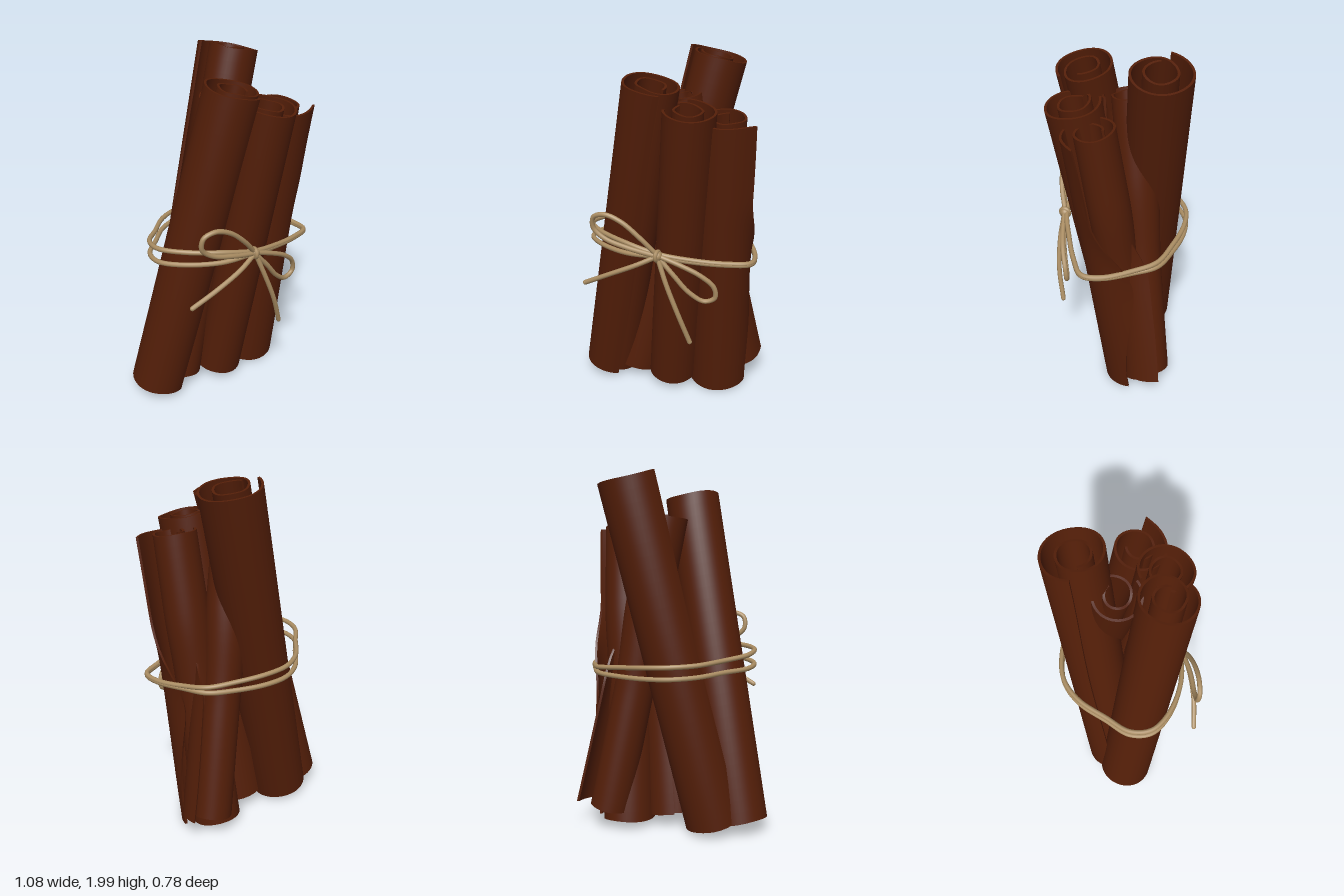
import * as THREE from 'three';
import { mergeGeometries } from 'three/addons/utils/BufferGeometryUtils.js';

const bark = new THREE.MeshStandardMaterial({ color: 0x531e08, side: THREE.DoubleSide });
const twine = new THREE.MeshStandardMaterial({ color: 0xa98c62 });
const V = (x, y, z) => new THREE.Vector3(x, y, z);
const { lerp, smoothstep } = THREE.MathUtils;

// Grid surface whose points follow a rule f(u, v)
function surface(nu, nv, f) {
  const g = new THREE.PlaneGeometry(1, 1, nu, nv);
  const p = g.attributes.position;
  for (let i = 0; i < p.count; i++) {
    const q = f(p.getX(i) + 0.5, p.getY(i) + 0.5);
    p.setXYZ(i, q.x, q.y, q.z);
  }
  g.computeVertexNormals();
  return g;
}

// Sheet of bark curled into a scroll along a leaning axis; pairs are [bottom, top].
// start: angle of the outer edge (degrees, from +x towards +z); turns: windings;
// hold: part of a turn kept at full radius; flare: how far the outer edge lifts;
// retreat: how far (radians) the outer edge draws back
function quill({ name, bottom, top, r, start, turns, hold = 0.55, flare = [0, 0], retreat = [0, 0] }) {
  const a = V(...bottom), axis = V(...top).sub(a);
  const length = axis.length();
  const lean = new THREE.Quaternion().setFromUnitVectors(V(0, 1, 0), axis.normalize());
  const thick = 0.013;

  const point = (u, v, inset) => {
    const edge = retreat[0] * (1 - smoothstep(v, 0, 0.6)) + retreat[1] * smoothstep(v, 0.4, 0.75)
      + 0.05 * Math.sin(v * 7 + start);
    const s = u * turns * Math.PI * 2;
    // beyond the held part the sheet curls in to a core
    const curl = 1 - 0.45 * smoothstep(s / (Math.PI * 2), hold, 1.2);
    const radius = lerp(r[0], r[1], v) * curl + lerp(flare[0], flare[1], v) * Math.exp(-s * 2.5) - inset;
    const angle = start * Math.PI / 180 + edge + s;
    const ripple = 0.003 * Math.sin(angle * 3 + start);
    return V(Math.cos(angle) * radius, v * length + ripple, Math.sin(angle) * radius)
      .applyQuaternion(lean).add(a);
  };

  const geometry = mergeGeometries([
    surface(90, 28, (u, v) => point(1 - u, v, 0)),             // outside
    surface(90, 28, (u, v) => point(u, v, thick)),             // inside
    surface(1, 28, (u, v) => point(0, v, u * thick)),          // outer edge
    surface(1, 28, (u, v) => point(1, v, (1 - u) * thick)),    // inner edge
    surface(90, 1, (u, v) => point(1 - u, 1, v * thick)),      // top end
    surface(90, 1, (u, v) => point(u, 0, v * thick)),          // bottom end
  ]);
  const mesh = new THREE.Mesh(geometry, bark);
  mesh.name = name;
  return mesh;
}

// Round cord through points, with rounded ends
function cord(name, points, closed = false) {
  const group = new THREE.Group();
  group.name = name;
  const path = points.map(p => V(...p));
  const curve = new THREE.CatmullRomCurve3(path, closed);
  group.add(new THREE.Mesh(new THREE.TubeGeometry(curve, points.length * 10, 0.0135, 10, closed), twine));
  if (!closed) {
    for (const end of [path[0], path[path.length - 1]]) {
      const tip = new THREE.Mesh(new THREE.SphereGeometry(0.0135, 10, 8), twine);
      tip.position.copy(end);
      group.add(tip);
    }
  }
  return group;
}

export function createModel() {
  const model = new THREE.Group();
  model.name = 'tiedSpiceSticks';

  // Five curled sticks
  const sticks = [
    { name: 'frontRightStick', bottom: [-0.385, 0.065, -0.135], top: [-0.085, 1.86, 0.18],
      r: [0.156, 0.15], start: 65, turns: 1.9, hold: 0.8 },
    { name: 'tallBackStick', bottom: [-0.24, 0.06, -0.165], top: [0.228, 1.96, -0.187],
      r: [0.16, 0.166], start: 205, turns: 1.95 },
    { name: 'frontCentreStick', bottom: [0, 0.068, -0.045], top: [0.113, 1.745, 0.242],
      r: [0.148, 0.148], start: -100, turns: 1.9 },
    { name: 'frontLeftStick', bottom: [0.276, 0.035, -0.075], top: [0.303, 1.69, 0.168],
      r: [0.17, 0.142], start: -45, turns: 1.7, flare: [0, 0.04], retreat: [1.1, 1.3] },
    { name: 'innerCrossingStick', bottom: [0.375, 0.125, -0.147], top: [0.05, 1.76, -0.033],
      r: [0.14, 0.13], start: -15, turns: 1.75, flare: [0.033, 0], retreat: [0, 1.5] },
  ];
  for (const stick of sticks) model.add(quill(stick));

  // Two windings of twine, spread on the back and one side, meeting at the knot
  const tie = new THREE.Group();
  tie.name = 'twine';
  const around = [ // x, z, height, half spread
    [-0.04, 0.3, 0.965, 0.008], [-0.22, 0.25, 0.98, 0.03], [-0.38, 0.13, 0.985, 0.038],
    [-0.452, 0, 0.98, 0.04], [-0.42, -0.12, 0.97, 0.038], [-0.3, -0.22, 0.96, 0.033],
    [-0.15, -0.335, 0.95, 0.032], [-0.01, -0.378, 0.945, 0.032], [0.13, -0.35, 0.938, 0.03],
    [0.28, -0.27, 0.928, 0.024], [0.4, -0.18, 0.92, 0.016], [0.445, -0.05, 0.912, 0.008],
    [0.478, 0.12, 0.905, 0.004], [0.455, 0.225, 0.907, 0.004], [0.33, 0.265, 0.915, 0.004],
    [0.15, 0.29, 0.935, 0.005],
  ];
  for (const side of [1, -1]) {
    const name = side > 0 ? 'upperWinding' : 'lowerWinding';
    tie.add(cord(name, around.map(([x, z, y, h]) => [x, y + side * h, z]), true));
  }

  // Bow loops and loose ends
  tie.add(cord('upperBowLoop', [
    [-0.04, 0.97, 0.31], [-0.13, 1.07, 0.325], [-0.23, 1.155, 0.32], [-0.32, 1.188, 0.305],
    [-0.385, 1.165, 0.285], [-0.39, 1.1, 0.275], [-0.33, 1.045, 0.285], [-0.2, 1.005, 0.31],
    [-0.04, 0.965, 0.315]]));
  tie.add(cord('lowerBowLoop', [
    [-0.04, 0.97, 0.315], [0.08, 0.925, 0.325], [0.19, 0.87, 0.325], [0.265, 0.8, 0.315],
    [0.272, 0.735, 0.31], [0.215, 0.71, 0.308], [0.13, 0.765, 0.318], [0.05, 0.86, 0.322],
    [-0.04, 0.965, 0.31]]));
  tie.add(cord('sideLooseEnd', [
    [-0.04, 0.965, 0.315], [-0.16, 0.91, 0.325], [-0.31, 0.84, 0.305], [-0.45, 0.765, 0.262]]));
  tie.add(cord('hangingLooseEnd', [
    [-0.04, 0.965, 0.315], [0.01, 0.82, 0.345], [0.075, 0.65, 0.357], [0.14, 0.472, 0.34]]));

  // Knot: a small ball wrapped by two turns
  const knot = new THREE.Group();
  knot.name = 'knot';
  knot.position.set(-0.04, 0.967, 0.312);
  knot.add(new THREE.Mesh(new THREE.SphereGeometry(0.028, 16, 12), twine));
  for (const tilt of [0.5, -0.9]) {
    const turn = new THREE.Mesh(new THREE.TorusGeometry(0.025, 0.012, 8, 20), twine);
    turn.rotation.set(0, Math.PI / 2.6, tilt);
    knot.add(turn);
  }
  tie.add(knot);
  model.add(tie);
  return model;
}
